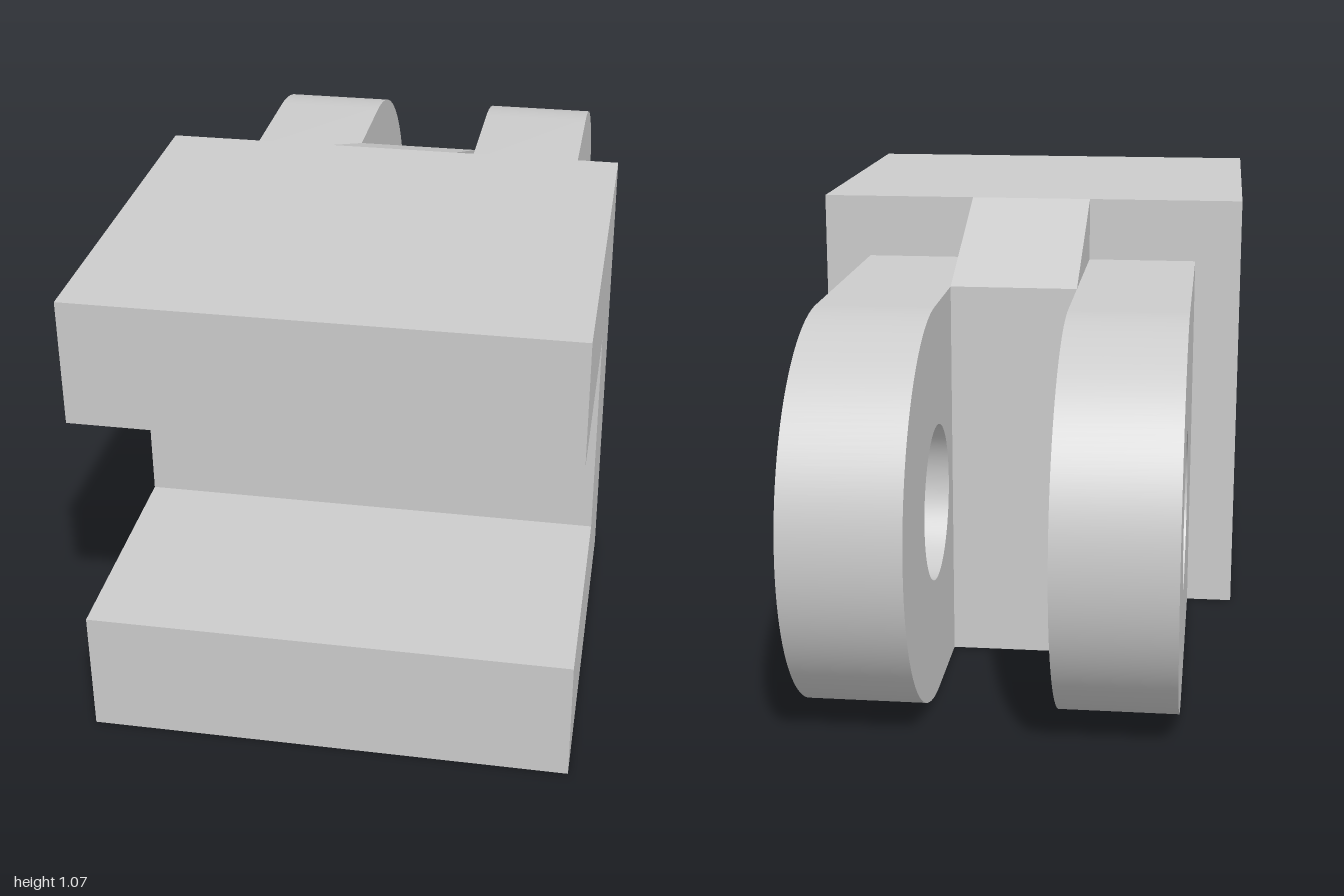
import * as THREE from 'three';
import { toCreasedNormals } from 'three/addons/utils/BufferGeometryUtils.js';

const material = new THREE.MeshStandardMaterial({ color: 0xcccccc });

// Extrudes a side profile (u = -z, v = y) across the width from x0 to x1
function sidePart(name, shape, x0, x1) {
  const geometry = new THREE.ExtrudeGeometry(shape, {
    depth: x1 - x0, bevelEnabled: false, curveSegments: 48,
  });
  geometry.translate(0, 0, x0);
  geometry.rotateY(Math.PI / 2);
  const mesh = new THREE.Mesh(toCreasedNormals(geometry, 0.5), material);
  mesh.name = name;
  return mesh;
}

const polygon = (points) => new THREE.Shape(points.map(([u, v]) => new THREE.Vector2(u, v)));

export function createModel() {
  const group = new THREE.Group();
  group.name = 'clevisBracket';

  const height = 1.07, halfWidth = 0.535;
  const back = -0.1; // u of the block's rear face
  const radius = 0.4575, pivot = 1 - radius;

  // Block with an open slot across the front
  const block = polygon([
    [-1, 0], [back, 0], [back, height], [-1, height],
    [-1, 0.79], [-0.46, 0.79], [-0.46, 0.287], [-1, 0.287],
  ]);
  group.add(sidePart('slottedBlock', block, -halfWidth, halfWidth));

  // Pair of rounded lugs with a pin hole
  const lug = new THREE.Shape();
  lug.moveTo(back, 0);
  lug.lineTo(pivot, 0);
  lug.absarc(pivot, radius, radius, -Math.PI / 2, Math.PI / 2, false);
  lug.lineTo(back, radius * 2);
  lug.closePath();
  const hole = new THREE.Path();
  hole.absarc(pivot, radius, 0.18, 0, Math.PI * 2, true);
  lug.holes.push(hole);
  group.add(sidePart('leftLug', lug, 0.15, 0.42));
  group.add(sidePart('rightLug', lug, -0.42, -0.15));

  // Web between the lugs, with a sloping top
  const web = polygon([[back, 0], [0.3, 0], [0.3, radius * 2], [back, height]]);
  group.add(sidePart('slopedWeb', web, -0.15, 0.15));

  return group;
}
